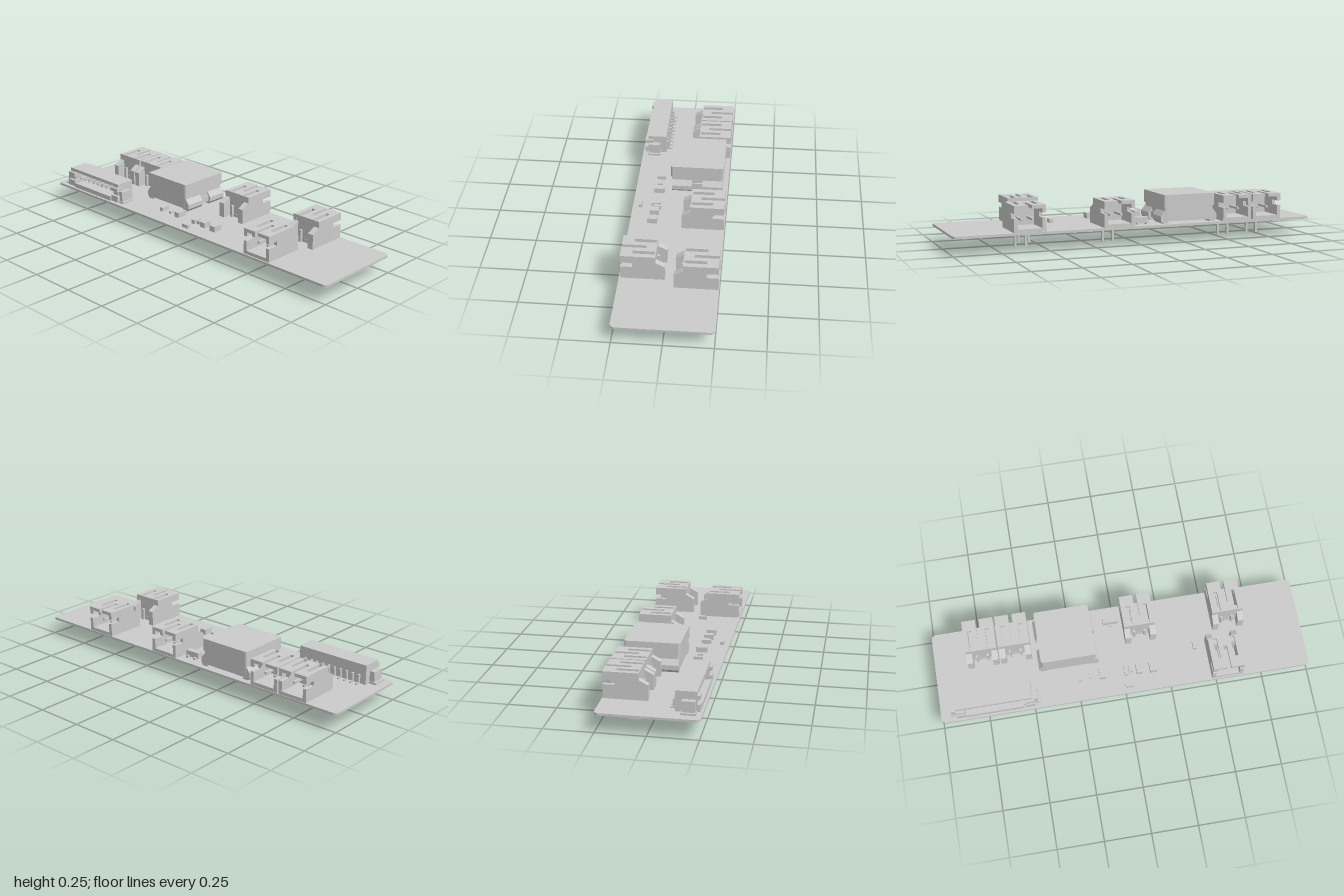
import * as THREE from 'three';

const material = new THREE.MeshStandardMaterial({ color: 0xcccccc, flatShading: true });
const BOARD_TOP = 0.1, BOARD_BOTTOM = 0.088;

function add(group, name, geometry) {
  const mesh = new THREE.Mesh(geometry, material);
  mesh.name = name;
  group.add(mesh);
  return mesh;
}

// Box given by its limits along each axis
function box(group, name, x0, x1, y0, y1, z0, z1) {
  const mesh = add(group, name, new THREE.BoxGeometry(x1 - x0, y1 - y0, z1 - z0));
  mesh.position.set((x0 + x1) / 2, (y0 + y1) / 2, (z0 + z1) / 2);
  return mesh;
}

const shapeOf = (points) => new THREE.Shape(points.map(([x, y]) => new THREE.Vector2(x, y)));

function extrude(shape, depth) {
  return new THREE.ExtrudeGeometry(shape, { depth, bevelEnabled: false, curveSegments: 5 });
}

// Rounded rectangle in the ground plane, extruded up from y0 to y1
function slab(group, name, w, d, r, y0, y1, x = 0, z = 0) {
  const s = new THREE.Shape(), a = w / 2, b = d / 2;
  s.moveTo(-a + r, -b);
  s.lineTo(a - r, -b).absarc(a - r, -b + r, r, -Math.PI / 2, 0);
  s.lineTo(a, b - r).absarc(a - r, b - r, r, 0, Math.PI / 2);
  s.lineTo(-a + r, b).absarc(-a + r, b - r, r, Math.PI / 2, Math.PI);
  s.lineTo(-a, -b + r).absarc(-a + r, -b + r, r, Math.PI, Math.PI * 1.5);
  const mesh = add(group, name, extrude(s, y1 - y0).rotateX(Math.PI / 2));
  mesh.position.set(x, y1, z);
}

// Two-pin side-entry socket opening toward +x
function socket() {
  const g = new THREE.Group();
  g.name = 'twoPinSocket';
  const half = 0.084, wall = 0.02;
  const side = [[0.073, 0.1], [0.25, 0.1], [0.25, 0.172], [0.19, 0.172], [0.19, 0.197],
    [0.25, 0.197], [0.25, 0.238], [0.073, 0.238]];
  const tail = [[0.027, 0.1], [0.073, 0.1], [0.073, 0.205], [0.027, 0.18]];
  for (const s of [-1, 1]) {
    add(g, 'sideWall', extrude(shapeOf(side), wall)).position.z = s > 0 ? half - wall : -half;
    add(g, 'rearPost', extrude(shapeOf(tail), 0.032)).position.z = s > 0 ? half - 0.032 : -half;
    // bent square pin
    const z = s * 0.029;
    box(g, 'pinLeg', 0.06, 0.075, 0, 0.165, z - 0.006, z + 0.006);
    box(g, 'pinTip', 0.06, 0.2, 0.153, 0.165, z - 0.006, z + 0.006);
  }
  const inner = half - wall;
  box(g, 'floor', 0.073, 0.25, 0.1, 0.118, -inner, inner);
  box(g, 'backWall', 0.075, 0.105, 0.118, 0.22, -inner, inner);
  // roof with an open middle slot and two closed slots
  const roof = shapeOf([[0.073, -inner], [0.25, -inner], [0.25, -0.01], [0.125, -0.01],
    [0.125, 0.01], [0.25, 0.01], [0.25, inner], [0.073, inner]]);
  for (const z of [-0.047, 0.047]) {
    roof.holes.push(new THREE.Path([[0.078, z - 0.011], [0.078, z + 0.011],
      [0.19, z + 0.011], [0.19, z - 0.011]].map(([x, y]) => new THREE.Vector2(x, y))));
  }
  add(g, 'roof', extrude(roof, 0.018).rotateX(Math.PI / 2)).position.y = 0.238;
  return g;
}

// Large two-part power component with clips on its front and back
function powerBlock() {
  const g = new THREE.Group();
  g.name = 'powerBlock';
  slab(g, 'upperBody', 0.29, 0.294, 0.012, 0.187, 0.254);
  slab(g, 'lowerBody', 0.278, 0.284, 0.012, 0.112, 0.187);
  const clip = [[0.12, 0.1], [0.15, 0.1], [0.163, 0.115], [0.163, 0.14], [0.142, 0.168], [0.12, 0.168]];
  for (const turn of [0, Math.PI]) {
    const end = new THREE.Group();
    end.name = 'clipEnd';
    for (const [x, w] of [[-0.138, 0.108], [0.03, 0.108]]) {
      // profile runs in z and y, extruded along x
      const geo = extrude(shapeOf(clip), w).rotateY(-Math.PI / 2).translate(x + w, 0, 0);
      add(end, 'clip', geo);
    }
    box(end, 'clipBridge', -0.03, 0.03, 0.115, 0.15, 0.12, 0.15);
    end.rotation.y = turn;
    g.add(end);
  }
  g.position.set(0.085, 0, -0.283);
  return g;
}

// Ten-pin side-entry connector opening toward -x
function wideConnector() {
  const g = new THREE.Group();
  g.name = 'tenPinConnector';
  const z0 = -0.915, z1 = -0.505;
  box(g, 'floor', -0.225, -0.12, 0.1, 0.118, z0, z1);
  box(g, 'roof', -0.225, -0.12, 0.188, 0.205, z0, z1);
  box(g, 'backWall', -0.15, -0.12, 0.118, 0.188, z0, z1);
  for (const z of [z0, z1 - 0.04]) {
    box(g, 'endWall', -0.225, -0.15, 0.118, 0.188, z, z + 0.04);
    box(g, 'latchLower', -0.24, -0.195, 0.105, 0.14, z, z + 0.05);
    box(g, 'latchUpper', -0.24, -0.195, 0.165, 0.185, z, z + 0.05);
  }
  box(g, 'lip', -0.24, -0.225, 0.1, 0.125, z0 + 0.05, z1 - 0.05);
  for (let i = 0; i < 10; i++) {
    const z = -0.877 + i * 0.0369;
    box(g, 'contact', -0.215, -0.15, 0.148, 0.158, z - 0.005, z + 0.005);
    box(g, 'leadDrop', -0.12, -0.106, 0.1, 0.15, z - 0.005, z + 0.005);
    box(g, 'leadFoot', -0.108, -0.09, 0.1, 0.108, z - 0.005, z + 0.005);
  }
  // solder tabs at both ends
  for (const [a, b] of [[-0.955, z0], [z1, -0.465]]) {
    box(g, 'solderTab', -0.225, -0.15, 0.1, 0.11, a, b);
    const inset = a < z0 ? [a + 0.012, b] : [a, b - 0.012];
    box(g, 'tabRise', -0.22, -0.155, 0.11, 0.165, ...inset);
  }
  return g;
}

// Indicator light with three small chips, under the board
function indicatorGroup(z) {
  const g = new THREE.Group();
  g.name = 'indicatorGroup';
  box(g, 'indicatorBase', 0.033, 0.095, 0.06, 0.078, -0.02, 0.02);
  box(g, 'indicatorBody', 0.04, 0.088, 0.074, BOARD_BOTTOM, -0.026, 0.026);
  for (const [x, dz] of [[0.147, 0.03], [0.147, 0.11], [0.055, 0.11]])
    box(g, 'underChip', x - 0.025, x + 0.025, 0.072, BOARD_BOTTOM, dz - 0.012, dz + 0.012);
  g.position.z = z;
  return g;
}

export function createModel() {
  const model = new THREE.Group();
  model.name = 'circuitBoard';
  slab(model, 'board', 0.506, 2, 0.025, BOARD_BOTTOM, BOARD_TOP);

  for (const z of [-0.735, -0.557, 0.122, 0.604]) {
    const s = socket();
    s.position.z = z;
    model.add(s);
  }
  const leftSocket = socket();
  leftSocket.rotation.y = Math.PI;
  leftSocket.position.set(0.005, 0, 0.55);
  model.add(leftSocket);

  model.add(powerBlock(), wideConnector());

  // small chips on top: x, z, width, depth, height
  const chips = [
    [-0.122, -0.24, 0.048, 0.02, 0.02], [-0.124, -0.18, 0.028, 0.014, 0.012],
    [-0.122, -0.115, 0.058, 0.03, 0.028], [-0.118, 0.04, 0.042, 0.02, 0.018],
    [-0.212, 0.02, 0.02, 0.042, 0.018], [-0.128, 0.014, 0.05, 0.022, 0.022],
    [-0.13, 0.085, 0.05, 0.032, 0.028], [-0.133, 0.16, 0.052, 0.036, 0.03],
    [-0.046, 0.406, 0.042, 0.02, 0.02],
  ];
  for (const [x, z, w, d, h] of chips)
    box(model, 'chip', x - w / 2, x + w / 2, BOARD_TOP, BOARD_TOP + h, z - d / 2, z + d / 2);

  // three-legged part
  box(model, 'transistorBody', 0.152, 0.188, 0.104, 0.136, -0.065, 0.015);
  for (const [x, z] of [[0.192, -0.05], [0.192, 0], [0.148, -0.025]])
    box(model, 'transistorLeg', x - 0.01, x + 0.01, BOARD_TOP, 0.112, z - 0.007, z + 0.007);

  for (const z of [0.81, 0.233, -0.345, -0.93]) model.add(indicatorGroup(z));
  return model;
}
